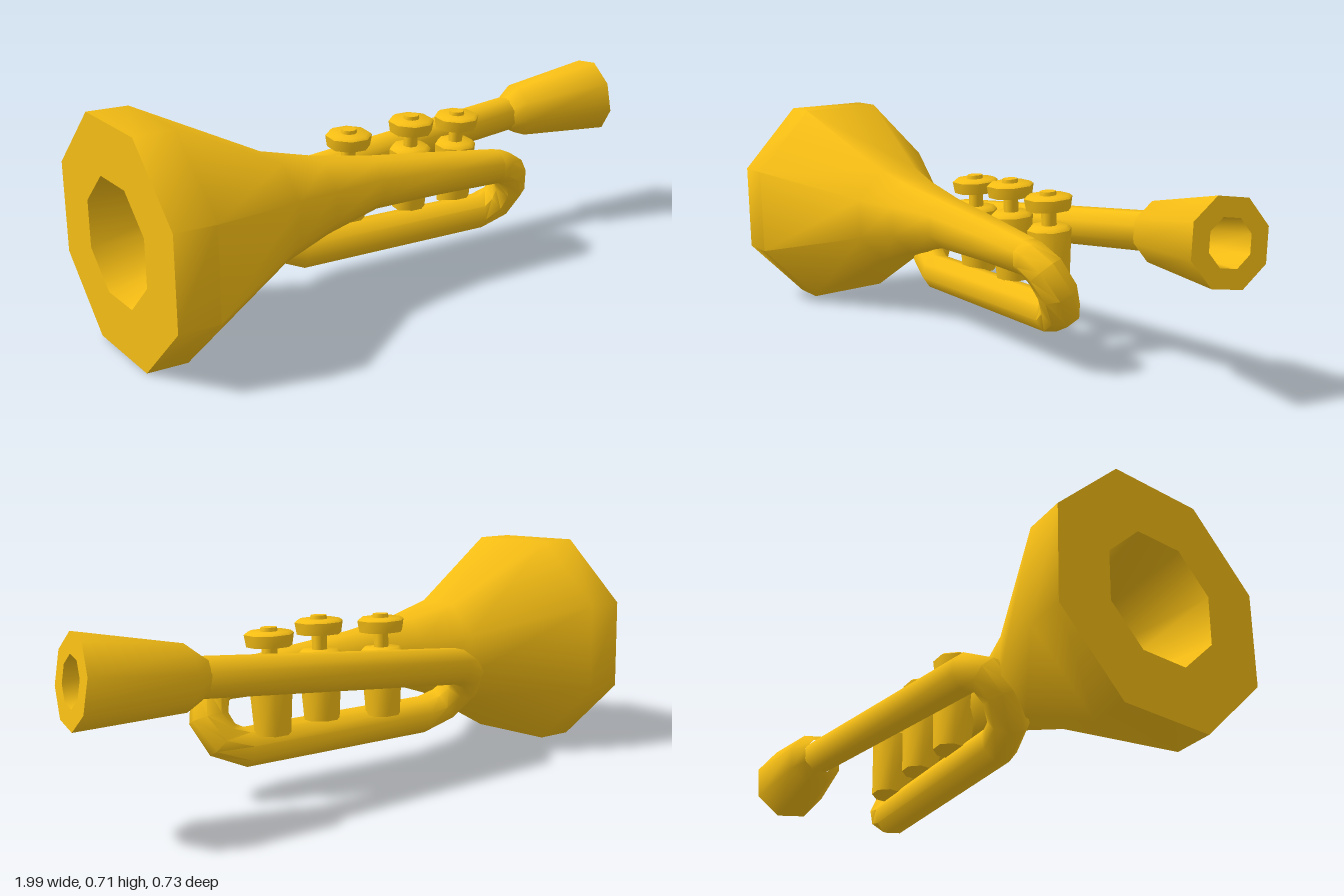
import * as THREE from 'three';
import { toCreasedNormals } from 'three/addons/utils/BufferGeometryUtils.js';

const brass = new THREE.MeshStandardMaterial({ color: 0xf5bd14 });
const SIDES = 8;
const V = (a) => new THREE.Vector3(a[0], a[1], a[2]);

// Smooth around the octagon, sharp at the rims
function part(name, geometry) {
  const mesh = new THREE.Mesh(toCreasedNormals(geometry, 0.9), brass);
  mesh.name = name;
  return mesh;
}

// Octagonal skin through rings [x, y, z, radius, optional axis direction]
function loft(rings, phaseDegrees) {
  const pos = [], index = [];
  const phase = THREE.MathUtils.degToRad(phaseDegrees);
  let up = new THREE.Vector3(0, 1, 0);
  rings.forEach((ring, i) => {
    const prev = rings[Math.max(i - 1, 0)], next = rings[Math.min(i + 1, rings.length - 1)];
    const axis = (ring[4] ? V(ring[4]) : V(next).sub(V(prev))).normalize();
    up = up.clone().addScaledVector(axis, -up.dot(axis)).normalize();
    const side = axis.clone().cross(up);
    for (let j = 0; j < SIDES; j++) {
      const a = phase + (j / SIDES) * Math.PI * 2;
      const p = V(ring)
        .addScaledVector(up, ring[3] * Math.cos(a))
        .addScaledVector(side, ring[3] * Math.sin(a));
      pos.push(p.x, p.y, p.z);
      if (i === 0) continue;
      const k = (j + 1) % SIDES, r0 = (i - 1) * SIDES, r1 = i * SIDES;
      index.push(r0 + j, r0 + k, r1 + j, r0 + k, r1 + k, r1 + j);
    }
  });
  const g = new THREE.BufferGeometry();
  g.setAttribute('position', new THREE.Float32BufferAttribute(pos, 3));
  g.setIndex(index);
  return g;
}

// One valve: tapered casing, stem, finger cap and button
function valve(x, z, lift) {
  const g = new THREE.Group();
  g.name = 'valve';
  const add = (name, rTop, rBottom, y0, y1) => {
    const geo = new THREE.CylinderGeometry(rTop, rBottom, y1 - y0, SIDES);
    geo.rotateY(Math.PI / 8);
    geo.translate(0, (y0 + y1) / 2, 0);
    g.add(part(name, geo));
  };
  add('valveCasing', 0.07, 0.056, 0.2, 0.405);
  add('valveCasingTop', 0.058, 0.07, 0.405, 0.418);
  add('valveStem', 0.024, 0.024, 0.41, 0.475);
  add('fingerCap', 0.076, 0.07, 0.467, 0.504);
  add('fingerCapTop', 0.066, 0.076, 0.504, 0.512);
  add('fingerButton', 0.025, 0.027, 0.51, 0.524);
  g.rotation.x = 0.06;
  g.position.set(x, lift, z - 0.03);
  return g;
}

export function createModel() {
  const group = new THREE.Group();
  group.name = 'trumpet';

  // Flared bell: hollow bore, flat face, rim band, cone, narrowing to the tube
  const tilt = [1, 0, -0.105];
  group.add(part('bell', loft([
    [-0.6, 0.35, -0.015, 0.001, tilt],
    [-0.6, 0.35, -0.015, 0.12, tilt],
    [-0.965, 0.35, 0.01, 0.195, tilt],
    [-0.965, 0.35, 0.01, 0.38, tilt],
    [-0.84, 0.35, 0.01, 0.38, tilt],
    [-0.46, 0.352, -0.02, 0.175],
    [-0.3, 0.362, -0.021, 0.126],
    [-0.11, 0.37, -0.02, 0.086],
    [0.13, 0.359, -0.015, 0.071],
    [0.37, 0.346, -0.004, 0.058],
  ], 24)));

  // Tubing: front bend, lower run, rear bend, upper lead pipe
  const r = 0.061;
  group.add(part('tubing', loft([
    [0.35, 0.347, -0.005, 0.058],
    [0.385, 0.343, -0.005, 0.058],
    [0.433, 0.312, -0.02, r],
    [0.455, 0.25, -0.05, r],
    [0.428, 0.188, -0.083, r],
    [0.36, 0.158, -0.1, r],
    [-0.33, 0.158, -0.1, r],
    [-0.41, 0.188, -0.118, r],
    [-0.447, 0.25, -0.16, r],
    [-0.43, 0.308, -0.2, r],
    [-0.37, 0.34, -0.228, r],
    [0.61, 0.436, -0.27, r],
  ], 22.5)));

  // Mouthpiece with a hollow cup
  const face = [1, 0.11, 0.1];
  const mouth = loft([
    [0.6, 0.435, -0.27, 0.062],
    [0.65, 0.44, -0.269, 0.095],
    [0.969, 0.465, -0.235, 0.133, face],
    [0.969, 0.465, -0.235, 0.073, face],
    [0.82, 0.453, -0.25, 0.062, face],
    [0.76, 0.449, -0.256, 0.035, face],
    [0.75, 0.448, -0.257, 0.001, face],
  ], 15);
  group.add(part('mouthpiece', mouth));

  // Three valves
  for (const [x, z, lift] of [[-0.13, -0.13, 0], [0.1, -0.117, 0.016], [0.29, -0.13, 0]]) {
    group.add(valve(x, z, lift));
  }
  return group;
}
